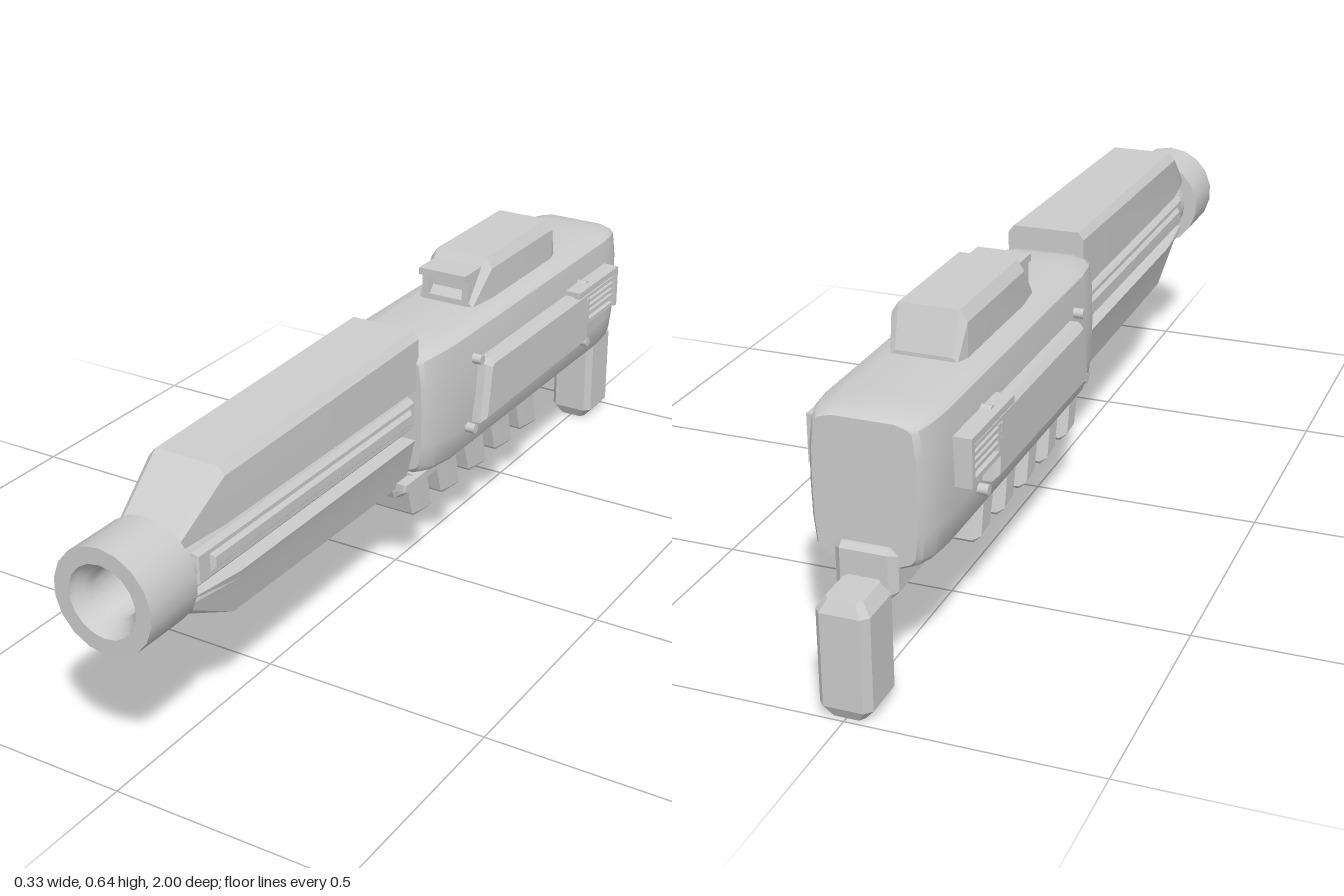
import * as THREE from 'three';
import { toCreasedNormals } from 'three/addons/utils/BufferGeometryUtils.js';

export function createModel() {
  const model = new THREE.Group();
  model.name = 'blaster';
  const grey = new THREE.MeshStandardMaterial({ color: 0xcccccc });
  grey.name = 'light grey';

  const add = (name, geo, parent = model) => {
    const m = new THREE.Mesh(geo, grey);
    m.name = name;
    parent.add(m);
    return m;
  };
  const box = (name, x0, x1, y0, y1, z0, z1, parent) => {
    const g = new THREE.BoxGeometry(x1 - x0, y1 - y0, z1 - z0);
    g.translate((x0 + x1) / 2, (y0 + y1) / 2, (z0 + z1) / 2);
    return add(name, g, parent);
  };
  // Side outline of [z, y] points, extruded across x with chamfered edges
  const slab = (name, pts, width, bevel, x = 0, parent = model) => {
    const shape = new THREE.Shape(pts.map(([z, y]) => new THREE.Vector2(z, y)));
    const depth = width - 2 * bevel;
    const g = new THREE.ExtrudeGeometry(shape, {
      depth, bevelEnabled: true, bevelSize: bevel, bevelThickness: bevel,
      bevelOffset: -bevel, bevelSegments: 1,
    });
    g.translate(0, 0, -depth / 2);
    g.rotateY(-Math.PI / 2);
    g.translate(x, 0, 0);
    return add(name, g, parent);
  };
  // Sections from front to back; each is a +x half outline from top to bottom
  const loft = (name, sections, crease) => {
    const pos = [], idx = [];
    const n = sections[0].pts.length * 2;
    sections.forEach(({ z, pts }) => {
      [...pts].reverse().forEach(([x, y]) => pos.push(x, y, z));
      pts.forEach(([x, y]) => pos.push(-x, y, z));
    });
    for (let i = 0; i < sections.length - 1; i++) {
      for (let j = 0; j < n; j++) {
        const k = (j + 1) % n;
        const a = i * n + j, b = i * n + k, d = a + n, c = b + n;
        idx.push(a, d, b, b, d, c);
      }
    }
    const last = (sections.length - 1) * n;
    for (let j = 1; j < n - 1; j++) {
      idx.push(0, j, j + 1, last, last + j + 1, last + j);
    }
    const g = new THREE.BufferGeometry();
    g.setAttribute('position', new THREE.Float32BufferAttribute(pos, 3));
    g.setIndex(idx);
    return add(name, toCreasedNormals(g, crease));
  };

  // Muzzle ring with a bevelled bore
  const profile = [
    [0, 0.865], [0.109, 0.865], [0.109, 1], [0.075, 1], [0.07, 0.988], [0.058, 0.978],
    [0.05, 0.965], [0.05, 0.91], [0.043, 0.892], [0.026, 0.88], [0, 0.875],
  ].map(([r, z]) => new THREE.Vector2(r, z));
  const muzzle = new THREE.LatheGeometry(profile, 18);
  muzzle.rotateX(Math.PI / 2);
  muzzle.translate(0, 0.406, 0);
  add('muzzle', toCreasedNormals(muzzle, 0.7));

  // Inner barrel
  const core = new THREE.CylinderGeometry(0.078, 0.078, 0.85, 20);
  core.rotateX(Math.PI / 2);
  core.translate(0, 0.406, 0.445);
  add('barrel', core);

  // Upper and lower barrel shrouds
  loft('upperShroud', [
    { z: 0.865, pts: [[0.06, 0.485], [0.07, 0.475], [0.068, 0.46]] },
    { z: 0.74, pts: [[0.07, 0.58], [0.085, 0.563], [0.085, 0.465]] },
    { z: 0.05, pts: [[0.074, 0.594], [0.086, 0.578], [0.086, 0.465]] },
  ], 0.2);
  loft('lowerShroud', [
    { z: 0.865, pts: [[0.068, 0.352], [0.07, 0.342], [0.06, 0.33]] },
    { z: 0.7, pts: [[0.085, 0.347], [0.08, 0.33], [0.062, 0.25]] },
    { z: 0.0, pts: [[0.085, 0.347], [0.08, 0.33], [0.062, 0.242]] },
  ], 0.2);

  // Receiver body, tapering at both ends
  const half = [[0.075, 0.552], [0.108, 0.544], [0.118, 0.535], [0.126, 0.48], [0.128, 0.405],
    [0.126, 0.33], [0.119, 0.275], [0.108, 0.262], [0.075, 0.25]];
  loft('receiver', [
    [0.06, 0.78, 0.88], [0.05, 0.84, 0.94], [0.02, 0.92, 0.98], [-0.05, 1, 1],
    [-0.78, 1, 1], [-0.83, 0.96, 0.99], [-0.868, 0.87, 0.965], [-0.88, 0.8, 0.93],
  ].map(([z, sx, sy]) => ({
    z, pts: half.map(([x, y]) => [x * sx, 0.402 + (y - 0.402) * sy]),
  })), 0.6);

  // Sight housing and its hooded window
  loft('sightHousing', [
    { z: -0.215, pts: [[0.058, 0.56], [0.068, 0.55], [0.068, 0.53]] },
    { z: -0.285, pts: [[0.062, 0.645], [0.077, 0.622], [0.077, 0.53]] },
    { z: -0.58, pts: [[0.062, 0.645], [0.077, 0.622], [0.077, 0.53]] },
    { z: -0.61, pts: [[0.058, 0.56], [0.068, 0.55], [0.068, 0.53]] },
  ], 0.2);
  box('sightHood', -0.058, 0.058, 0.612, 0.628, -0.31, -0.197);
  box('sightWindow', -0.045, 0.045, 0.54, 0.615, -0.31, -0.232);
  box('sightSill', -0.058, 0.058, 0.54, 0.565, -0.31, -0.212);
  for (const s of [-1, 1]) {
    box('sightPost', s * 0.05 - 0.008, s * 0.05 + 0.008, 0.56, 0.613, -0.31, -0.212);
  }

  // Details repeated on both sides
  for (const s of [-1, 1]) {
    const side = new THREE.Group();
    side.name = s > 0 ? 'leftDetails' : 'rightDetails';
    model.add(side);
    const bx = (name, x0, x1, ...r) =>
      box(name, Math.min(s * x0, s * x1), Math.max(s * x0, s * x1), ...r, side);

    // Barrel rail in the groove between the shrouds
    slab('barrelRailBase', [[0.0, 0.37], [0.83, 0.37], [0.83, 0.442], [0.0, 0.442]], 0.03, 0.008, s * 0.066, side);
    slab('barrelRail', [[0.075, 0.388], [0.79, 0.388], [0.79, 0.425], [0.075, 0.425]], 0.03, 0.008, s * 0.074, side);

    // Cover panel and bolts
    slab('sidePanel', [[-0.64, 0.335], [-0.115, 0.33], [-0.118, 0.35], [-0.137, 0.462],
      [-0.15, 0.473], [-0.625, 0.473]], 0.05, 0.012, s * 0.133, side);
    for (const [z, y] of [[-0.12, 0.48], [-0.095, 0.325], [-0.655, 0.325], [-0.635, 0.478]]) {
      const bolt = new THREE.CylinderGeometry(0.011, 0.011, 0.04, 12);
      bolt.rotateZ(Math.PI / 2);
      bolt.translate(s * 0.127, y, z);
      add('bolt', bolt, side);
    }

    // Slatted vent
    bx('ventBack', 0.11, 0.147, 0.387, 0.483, -0.77, -0.625);
    bx('ventTop', 0.12, 0.163, 0.469, 0.484, -0.775, -0.565);
    bx('ventRear', 0.12, 0.163, 0.385, 0.484, -0.775, -0.762);
    bx('ventFront', 0.12, 0.158, 0.385, 0.45, -0.632, -0.62);
    bx('ventBottom', 0.12, 0.158, 0.385, 0.395, -0.775, -0.62);
    for (let i = 0; i < 4; i++) {
      const y = 0.408 + i * 0.015;
      bx('ventSlat', 0.12, 0.158, y, y + 0.008, -0.765, -0.585 - (3 - i) * 0.012);
    }
  }

  // Lower rail with five slanted ribs
  slab('lowerRail', [[0.105, 0.235], [0.095, 0.215], [0.06, 0.205], [-0.55, 0.205],
    [-0.57, 0.22], [-0.57, 0.28], [0.105, 0.28]], 0.128, 0.01);
  slab('lowerRailPlate', [[0.105, 0.24], [-0.57, 0.24], [-0.57, 0.258], [0.105, 0.258]], 0.172, 0.004);
  for (let i = 0; i < 5; i++) {
    const z = -i * 0.126;
    slab('rib', [[z + 0.035, 0.152], [z + 0.028, 0.145], [z - 0.03, 0.139], [z - 0.038, 0.147],
      [z - 0.012, 0.27], [z + 0.068, 0.27]].reverse(), 0.154, 0.014);
  }

  // Rear mount and grip
  slab('gripMount', [[-0.655, 0.25], [-0.66, 0.237], [-0.72, 0.2], [-0.885, 0.197], [-0.896, 0.208],
    [-0.896, 0.29], [-0.887, 0.3], [-0.78, 0.3]], 0.124, 0.015);
  const grip = [[0, 0.62, 0.8], [0.024, 1, 1], [0.215, 1, 1], [0.24, 0.68, 0.8]];
  const gripGeo = new THREE.ExtrudeGeometry(
    new THREE.Shape([[0.04, 0.06], [0.053, 0.045], [0.053, -0.045], [0.04, -0.06],
      [-0.04, -0.06], [-0.053, -0.045], [-0.053, 0.045], [-0.04, 0.06]]
      .map(([x, y]) => new THREE.Vector2(x, y))),
    { depth: 0.24, steps: 3, bevelEnabled: false });
  gripGeo.rotateX(-Math.PI / 2);
  const p = gripGeo.attributes.position;
  for (let i = 0; i < p.count; i++) {
    const [y, sx, sz] = grip[Math.round(p.getY(i) / 0.08)];
    p.setXYZ(i, p.getX(i) * sx, y, p.getZ(i) * sz - 0.94);
  }
  add('grip', toCreasedNormals(gripGeo, 0.2));

  return model;
}
